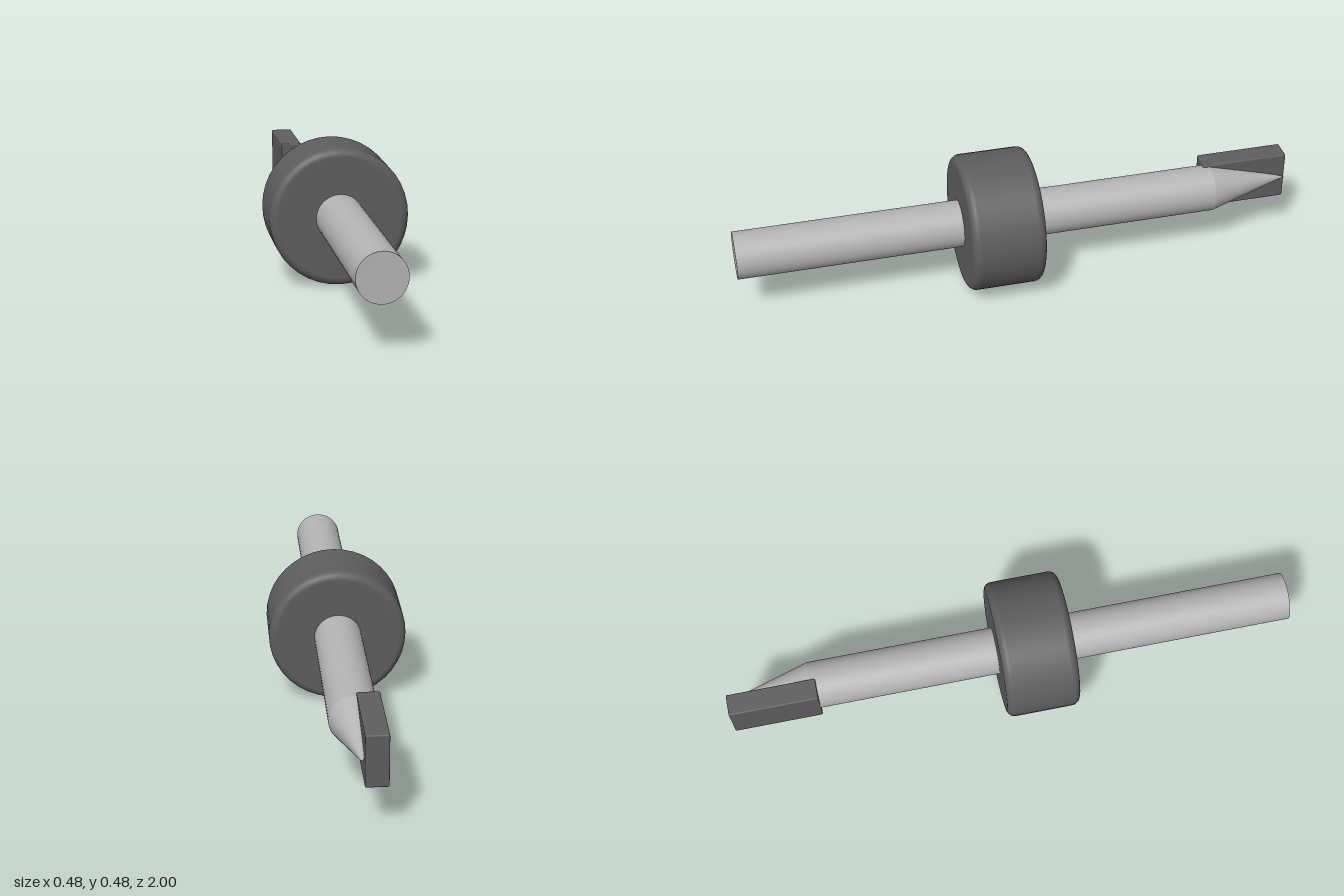
import * as THREE from 'three';
import { RoundedBoxGeometry } from 'three/addons/geometries/RoundedBoxGeometry.js';

const AXIS_Y = 0.242;
const SHAFT_R = 0.083;

export function createModel() {
  const model = new THREE.Group();
  model.name = 'cuttingTool';

  const steel = new THREE.MeshStandardMaterial({ color: 0xb4b4b6 });
  steel.name = 'light steel';
  const dark = new THREE.MeshStandardMaterial({ color: 0x5e5e60 });
  dark.name = 'dark grey';

  const add = (name, geometry, material, x, z) => {
    const mesh = new THREE.Mesh(geometry, material);
    mesh.name = name;
    mesh.position.set(x, AXIS_Y, z);
    model.add(mesh);
    return mesh;
  };

  // Long round shaft along z
  const shaft = new THREE.CylinderGeometry(SHAFT_R, SHAFT_R, 1.71, 48);
  shaft.rotateX(Math.PI / 2);
  add('shaft', shaft, steel, 0, 0.145);

  // Conical point at the back
  const tip = new THREE.ConeGeometry(SHAFT_R, 0.29, 48);
  tip.rotateX(-Math.PI / 2);
  add('tip', tip, steel, 0, -0.855);

  // Collar with rounded rims
  const R = 0.241, H = 0.13, F = 0.028;
  const profile = [new THREE.Vector2(0, -H)];
  for (const side of [-1, 1]) {
    for (let i = 0; i <= 6; i++) {
      const a = (side < 0 ? -Math.PI / 2 : 0) + (i / 6) * (Math.PI / 2);
      profile.push(new THREE.Vector2(R - F + F * Math.cos(a), side * (H - F) + F * Math.sin(a)));
    }
  }
  profile.push(new THREE.Vector2(0, H));
  const collar = new THREE.LatheGeometry(profile, 40);
  collar.rotateX(Math.PI / 2);
  add('collar', collar, dark, 0, 0.08);

  // Flat cutting plate beside the tip
  add('cuttingPlate', new RoundedBoxGeometry(0.076, 0.178, 0.312, 2, 0.005), dark, -0.046, -0.844);

  return model;
}
